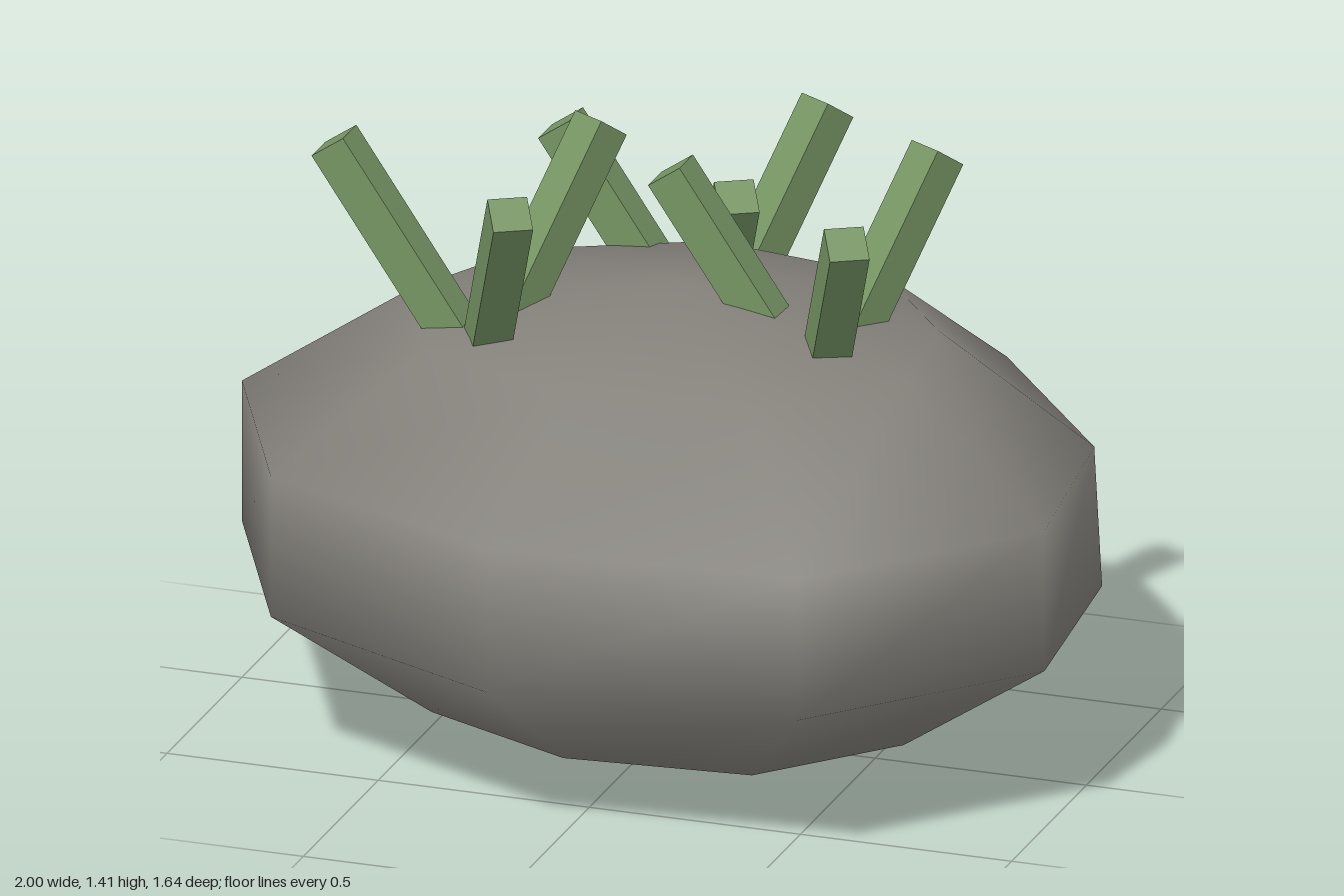
import * as THREE from 'three';

// Centre axis of the boulder, offset slightly in x
const CX = 0.045;

// Outlines [x, z] of the upper and lower girdle, anticlockwise from the right tip
const UPPER = [[-1, 0], [-0.74, 0.54], [-0.13, 0.8], [0.58, 0.75], [1, 0.28], [0.93, -0.25], [0.56, -0.71], [-0.13, -0.82], [-0.74, -0.52]];
const LOWER = [[-1, 0], [-0.74, 0.54], [-0.13, 0.82], [0.58, 0.755], [1, 0.28], [0.945, -0.26], [0.6, -0.77], [-0.13, -0.8], [-0.74, -0.52]];

function boulderGeometry() {
  const n = UPPER.length;
  // Rings from top to bottom: outline, scale about the axis, height
  const rings = [[UPPER, 0.62, 0.98], [UPPER, 1, 0.71], [LOWER, 1, 0.375], [LOWER, 0.61, 0.11]];
  const pos = [CX, 1.08, 0];
  for (const [outline, s, y] of rings) {
    for (const [x, z] of outline) pos.push(CX + (x - CX) * s, y, z * s);
  }
  pos.push(CX, 0, 0);
  const last = pos.length / 3 - 1;
  const id = (r, i) => 1 + r * n + (i % n);

  const index = [];
  for (let i = 0; i < n; i++) {
    index.push(0, id(0, i), id(0, i + 1));
    for (let r = 0; r < rings.length - 1; r++) {
      const a = id(r, i), b = id(r + 1, i), c = id(r + 1, i + 1), d = id(r, i + 1);
      index.push(a, b, d, b, c, d);
    }
    index.push(id(rings.length - 1, i), last, id(rings.length - 1, i + 1));
  }
  const g = new THREE.BufferGeometry();
  g.setAttribute('position', new THREE.Float32BufferAttribute(pos, 3));
  g.setIndex(index);
  g.computeVertexNormals();
  return g;
}

// Three square blades leaning outward from a common point
function makeTuft(x, tipY, z, material) {
  const tuft = new THREE.Group();
  tuft.name = 'grassTuft';
  tuft.position.set(x, tipY, z);
  const length = 0.6, tilt = 0.6, reach = 0.35;
  const geometry = new THREE.BoxGeometry(0.09, length, 0.09);
  for (let k = 0; k < 3; k++) {
    const arm = new THREE.Group();
    arm.name = 'bladeArm';
    arm.rotation.y = (k * Math.PI * 2) / 3;
    const blade = new THREE.Mesh(geometry, material);
    blade.name = 'blade';
    blade.rotation.z = tilt;
    blade.position.set(-reach + Math.sin(tilt) * length / 2, -Math.cos(tilt) * length / 2, 0);
    arm.add(blade);
    tuft.add(arm);
  }
  return tuft;
}

export function createModel() {
  const stone = new THREE.MeshStandardMaterial({ color: 0x84817b });
  stone.name = 'stone grey';
  const green = new THREE.MeshStandardMaterial({ color: 0x769463 });
  green.name = 'moss green';

  const model = new THREE.Group();
  model.name = 'mossyBoulder';

  const boulder = new THREE.Mesh(boulderGeometry(), stone);
  boulder.name = 'boulder';
  model.add(boulder);

  // Tufts: centre x, tip height, centre z
  for (const [x, y, z] of [[-0.37, 1.385, 0.175], [0.365, 1.345, 0], [-0.055, 1.24, -0.45]]) {
    model.add(makeTuft(x, y, z, green));
  }
  return model;
}
